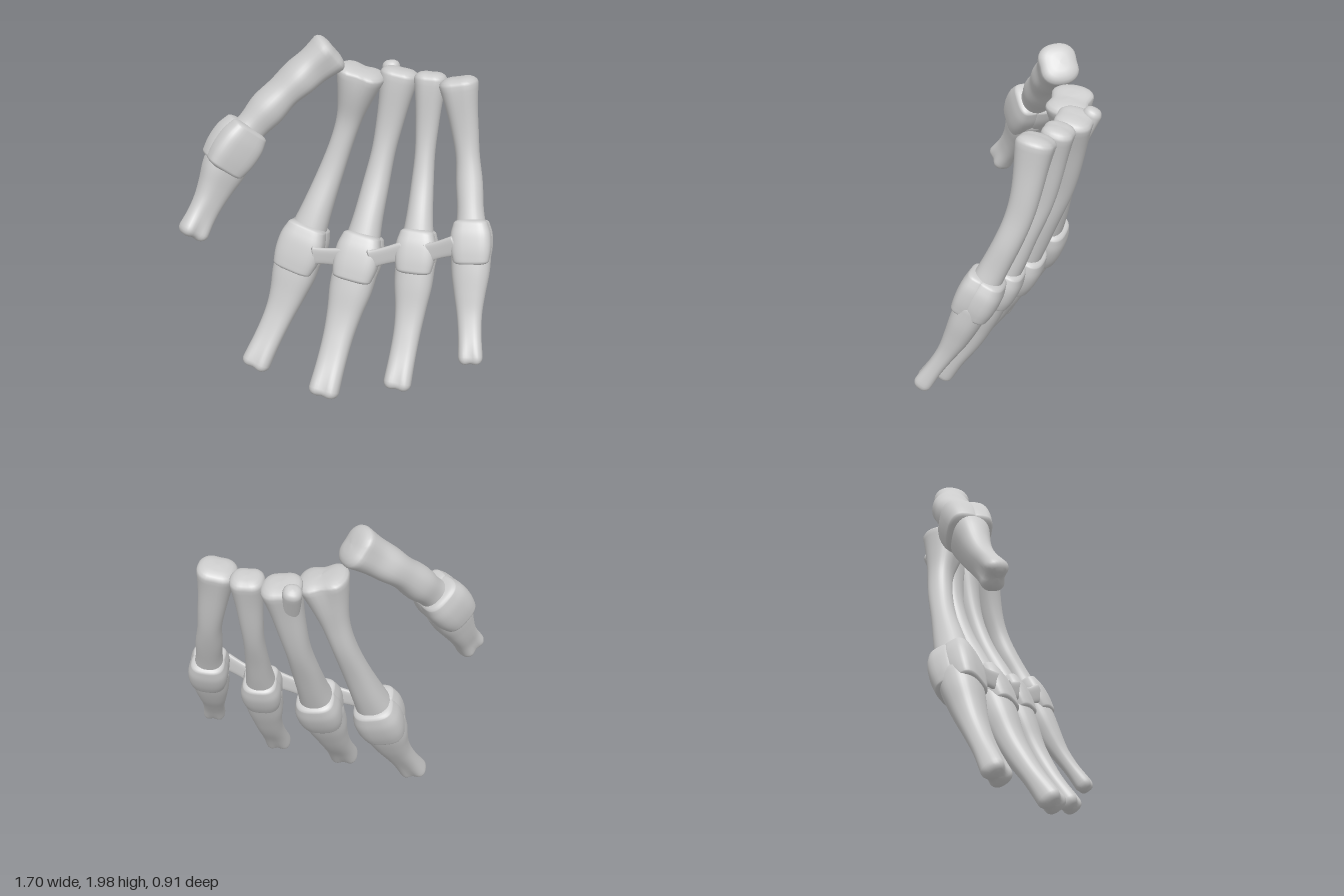
import * as THREE from 'three';

const material = new THREE.MeshStandardMaterial({ color: 0xcccccc });
const V = (x, y, z) => new THREE.Vector3(x, y, z);
const FINGER_SIDE = V(1, 0, 0), THUMB_SIDE = V(0.44, -0.57, -0.33);

const curve = points => new THREE.CatmullRomCurve3(points, false, 'catmullrom');

// Section directions across a bone: S sideways, D towards the palm.
function frame(T, side) {
  const S = side.clone().addScaledVector(T, -side.dot(T)).normalize();
  return { S, D: T.clone().cross(S) };
}

// Smooth solid along a path of points, with domed ends.
// sizes: evenly spaced [halfWidth, halfDepth]; power: squareness of the section;
// notchA / notchB: groove between the two knuckles at the start / end.
function loft(name, points, sizes, { side = FINGER_SIDE, power = 2.3, cap = 0.04, notchA = 0, notchB = 0, rows = 30 }) {
  const n = 32, capRows = 5;
  const path = curve(points), size = curve(sizes.map(([w, d]) => V(w, d, 0)));
  const steps = [];
  for (let k = capRows; k > 0; k--) steps.push([0, -k / capRows]);
  for (let i = 0; i <= rows; i++) steps.push([i / rows, 0]);
  for (let k = 1; k <= capRows; k++) steps.push([1, k / capRows]);

  const pos = [], idx = [];
  steps.forEach(([t, e], r) => {
    const T = path.getTangent(t), { S, D } = frame(T, side);
    const center = path.getPoint(t), radius = size.getPoint(t);
    const shrink = Math.pow(Math.max(Math.cos(e * Math.PI / 2), 0), 0.7);
    const push = Math.sin(e * Math.PI / 2) * cap;
    const groove = notchA * Math.pow(1 - t, 6) + notchB * Math.pow(t, 6);
    for (let j = 0; j < n; j++) {
      const a = j / n * Math.PI * 2, c = Math.cos(a), s = Math.sin(a);
      const u = Math.sign(c) * Math.pow(Math.abs(c), 2 / power) * shrink;
      const v = Math.sign(s) * Math.pow(Math.abs(s), 2 / power) * shrink;
      const dip = 1 - groove * Math.exp(-u * u * 6);
      const p = center.clone().addScaledVector(S, u * radius.x)
        .addScaledVector(D, v * radius.y * dip).addScaledVector(T, push * dip);
      pos.push(p.x, p.y, p.z);
      if (r < steps.length - 1) {
        const A = r * n + j, B = r * n + (j + 1) % n;
        idx.push(A, B, A + n, B, B + n, A + n);
      }
    }
  });
  const g = new THREE.BufferGeometry();
  g.setAttribute('position', new THREE.Float32BufferAttribute(pos, 3));
  g.setIndex(idx);
  g.computeVertexNormals();
  const mesh = new THREE.Mesh(g, material);
  mesh.name = name;
  return mesh;
}

// Joint capsule: a hood behind and a squarer plate on the palm side, meeting in a seam.
function jointCapsule(center, T, w, side) {
  const group = new THREE.Group();
  group.name = 'jointCapsule';
  const { D } = frame(T, side);
  const piece = (name, shift, width, depth, length, power) => {
    const middle = center.clone().addScaledVector(D, shift * w);
    const points = [-0.5, 0, 0.5].map(f => middle.clone().addScaledVector(T, f * length * w));
    const sizes = [0.84, 0.97, 1, 0.97, 0.88].map(k => [w * width * k, w * depth * k]);
    group.add(loft(name, points, sizes, { side, power, cap: 0.025, rows: 14 }));
  };
  piece('hood', -0.22, 1, 0.8, 1.75, 2.7);
  piece('palmPlate', 0.37, 0.98, 0.6, 1.8, 3.2);
  return group;
}

// One finger: metacarpal from base to knuckle, capsule, then phalanx to the tip.
// Half widths: baseW at the wrist end, shaftW mid-bone, w at the knuckle, tipW at the tip.
// depth: thickness of the metacarpal shaft relative to its width.
function finger(name, [base, shaft, knuckle, middle, tip], [baseW, shaftW, w, tipW],
  { notch, depth = 1.08, side = FINGER_SIDE }) {
  const group = new THREE.Group();
  group.name = name;
  const flare = (baseW + shaftW) / 2;
  const metacarpalSizes = [
    [baseW, baseW * 0.98], [flare, flare], [shaftW * 1.12, shaftW * depth * 1.06],
    [shaftW, shaftW * depth], [shaftW * 1.12, shaftW * depth], [w * 0.65, w * 0.65], [w * 0.85, w * 0.75],
  ];
  const phalanxSizes = [
    [w * 0.97, w * 0.8], [w * 0.92, w * 0.74], [w * 0.76, w * 0.62],
    [(w + tipW * 2) * 0.28, tipW * 0.8], [tipW * 0.95, tipW * 0.72], [tipW, tipW * 0.84],
  ];
  const axis = middle.clone().sub(shaft).normalize();
  const start = knuckle.clone().lerp(middle, 0.16);
  group.add(
    loft('metacarpal', [base, shaft, knuckle], metacarpalSizes, { side, notchA: notch, cap: 0.045 }),
    jointCapsule(knuckle, axis, w, side),
    loft('phalanx', [start, middle, tip], phalanxSizes, { side, notchB: 0.25, cap: 0.05, power: 2.5 }),
  );
  return group;
}

export function createModel() {
  const hand = new THREE.Group();
  hand.name = 'handBones';

  hand.add(
    finger('thumb',
      [V(-0.145, 1.89, -0.155), V(-0.37, 1.69, -0.035), V(-0.6, 1.42, 0.14), V(-0.7, 1.17, 0.255), V(-0.77, 0.995, 0.375)],
      [0.115, 0.085, 0.13, 0.085], { notch: 0.1, depth: 1.25, side: THUMB_SIDE }),
    finger('indexFinger',
      [V(0.01, 1.75, -0.26), V(-0.095, 1.34, -0.235), V(-0.28, 0.74, -0.04), V(-0.365, 0.41, 0.09), V(-0.485, 0.09, 0.265)],
      [0.135, 0.065, 0.138, 0.085], { notch: 0.25 }),
    finger('middleFinger',
      [V(0.21, 1.735, -0.335), V(0.145, 1.3, -0.25), V(0.07, 0.745, 0), V(0.01, 0.38, 0.17), V(-0.035, 0.06, 0.385)],
      [0.108, 0.067, 0.132, 0.088], { notch: 0.1 }),
    finger('ringFinger',
      [V(0.39, 1.74, -0.3), V(0.39, 1.33, -0.215), V(0.405, 0.835, 0.005), V(0.403, 0.47, 0.155), V(0.385, 0.165, 0.345)],
      [0.09, 0.056, 0.115, 0.078], { notch: 0.1 }),
    finger('littleFinger',
      [V(0.555, 1.75, -0.235), V(0.635, 1.37, -0.17), V(0.71, 0.945, 0.015), V(0.738, 0.63, 0.16), V(0.78, 0.39, 0.31)],
      [0.105, 0.065, 0.113, 0.067], { notch: 0.1 }),
  );

  // Small spur at the back of the middle metacarpal's base
  hand.add(loft('baseSpur', [V(0.17, 1.6, -0.35), V(0.145, 1.75, -0.41)], [[0.05, 0.04], [0.05, 0.05]], { rows: 8 }));

  // Flat straps linking the finger joints across the palm
  const straps = [
    [V(-0.18, 0.75, 0.065), V(0, 0.775, 0.085)],
    [V(0.16, 0.79, 0.085), V(0.34, 0.86, 0.075)],
    [V(0.48, 0.875, 0.075), V(0.63, 0.95, 0.095)],
  ];
  for (const ends of straps) {
    const sizes = [[0.062, 0.018], [0.05, 0.015], [0.058, 0.018]];
    hand.add(loft('palmStrap', ends, sizes, { side: V(0, 1, 0), power: 3, cap: 0.01, rows: 10 }));
  }
  return hand;
}
